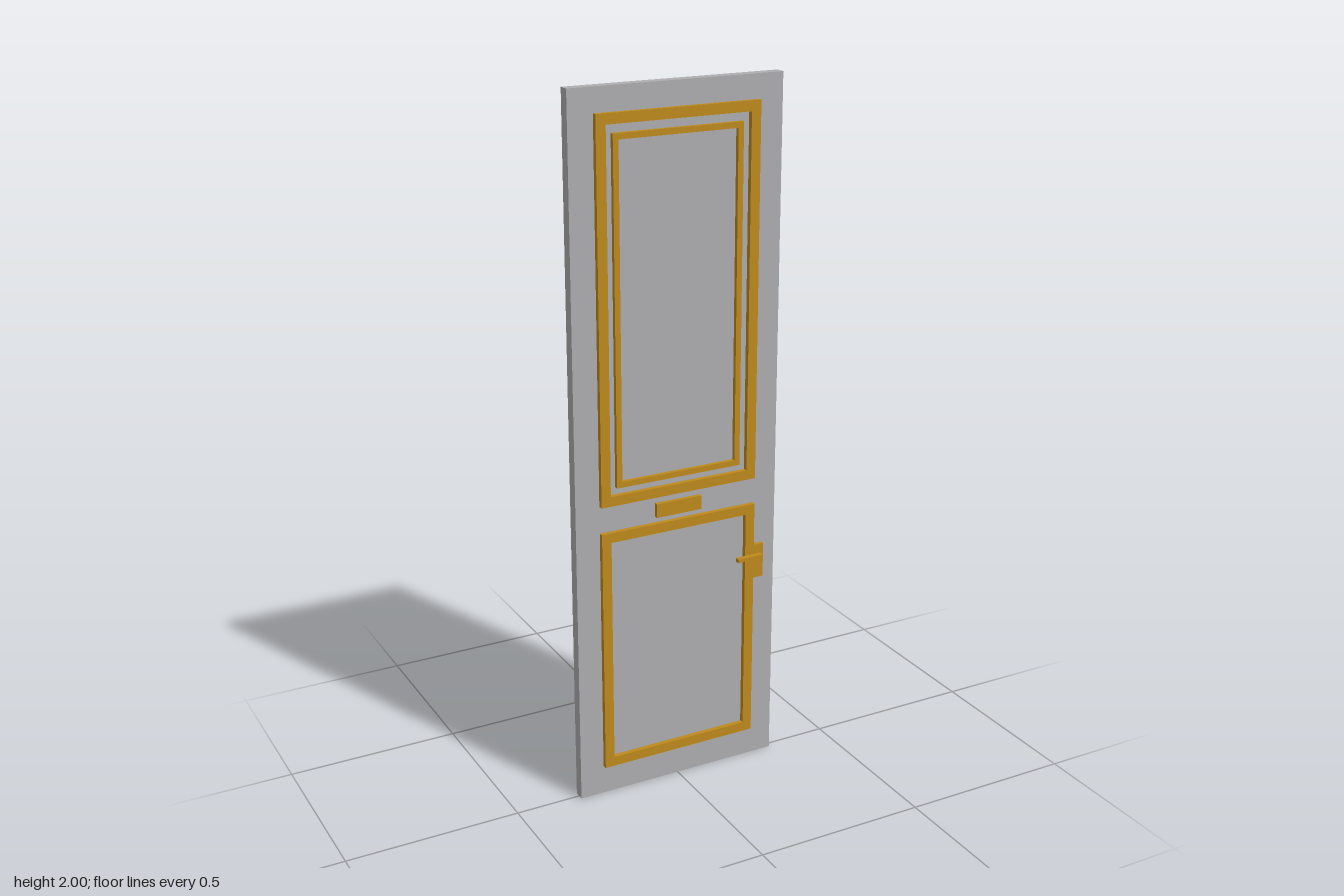
import * as THREE from 'three';

export function createModel() {
  const door = new THREE.Group();
  door.name = 'door';

  const grey = new THREE.MeshStandardMaterial({ color: 0xaeaeb0 });
  grey.name = 'grey panel';
  const gold = new THREE.MeshStandardMaterial({ color: 0xbe8a1c });
  gold.name = 'gold trim';

  function add(name, geometry, material) {
    const mesh = new THREE.Mesh(geometry, material);
    mesh.name = name;
    door.add(mesh);
    return mesh;
  }

  // Box given by its limits on each axis
  function box(name, x0, x1, y0, y1, z0, z1, material) {
    const mesh = add(name, new THREE.BoxGeometry(x1 - x0, y1 - y0, z1 - z0), material);
    mesh.position.set((x0 + x1) / 2, (y0 + y1) / 2, (z0 + z1) / 2);
  }

  const rectangle = (path, x0, x1, y0, y1) => path
    .moveTo(x0, y0).lineTo(x1, y0).lineTo(x1, y1).lineTo(x0, y1).closePath();

  // Rectangular moulding that stands out on both faces of the door
  function moulding(name, x0, x1, y0, y1, width, half) {
    const shape = new THREE.Shape();
    rectangle(shape, x0, x1, y0, y1);
    const hole = new THREE.Path();
    rectangle(hole, x0 + width, x1 - width, y0 + width, y1 - width);
    shape.holes.push(hole);
    const geometry = new THREE.ExtrudeGeometry(shape, { depth: 2 * half, bevelEnabled: false });
    add(name, geometry.translate(0, 0, -half), gold);
  }

  // Door leaf
  box('doorPanel', -0.31, 0.31, 0, 2, -0.016, 0.016, grey);

  // Mouldings
  moulding('upperOuterMoulding', -0.239, 0.237, 0.883, 1.934, 0.028, 0.03);
  moulding('upperInnerMoulding', -0.191, 0.187, 0.931, 1.882, 0.016, 0.028);
  moulding('lowerMoulding', -0.239, 0.237, 0.087, 0.805, 0.028, 0.03);

  // Letter plate and lock plate
  box('letterPlate', -0.071, 0.067, 0.822, 0.862, -0.028, 0.028, gold);
  box('lockPlate', 0.212, 0.269, 0.576, 0.678, -0.028, 0.028, gold);

  // Handle bars, one on each side
  box('frontHandle', 0.173, 0.253, 0.645, 0.656, 0.04, 0.055, gold);
  box('backHandle', 0.173, 0.253, 0.645, 0.656, -0.055, -0.04, gold);

  return door;
}
